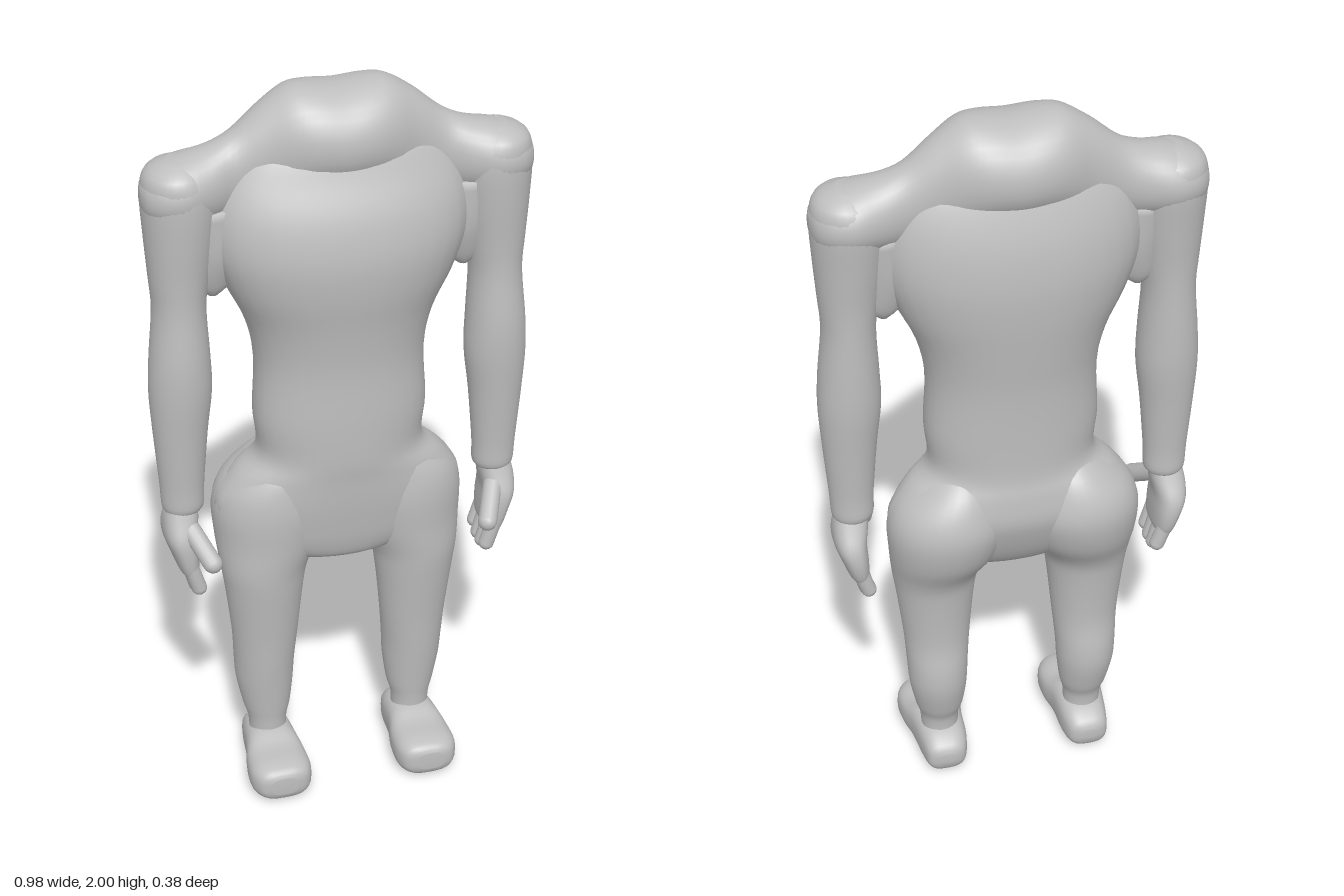
import * as THREE from 'three';

const SEG = 32, STEPS = 4;

// Smooth closed loft along an axis; each row is [t, aMin, aMax, bMin, bMax],
// where (a, b) are (y, z) for axis x, (x, z) for axis y and (x, y) for axis z.
function loft(axis, rows, power = 2) {
  const rings = [];
  const at = (i) => rows[Math.max(0, Math.min(rows.length - 1, i))];
  for (let i = 0; i < rows.length - 1; i++) {
    for (let s = 0; s < STEPS; s++) {
      const u = s / STEPS;
      rings.push(rows[0].map((_, k) => {
        const p0 = at(i - 1)[k], p1 = at(i)[k], p2 = at(i + 1)[k], p3 = at(i + 2)[k];
        return p1 + 0.5 * u * (p2 - p0 + u * (2 * p0 - 5 * p1 + 4 * p2 - p3 + u * (3 * (p1 - p2) + p3 - p0)));
      }));
    }
  }
  rings.push(rows[rows.length - 1]);

  const pos = [], index = [];
  const put = (t, a, b) => {
    if (axis === 'x') pos.push(t, a, b);
    else if (axis === 'y') pos.push(a, t, b);
    else pos.push(a, b, t);
  };
  const round = (v) => Math.sign(v) * Math.abs(v) ** (2 / power);
  const dir = axis === 'y' ? -1 : 1;
  for (const [t, a0, a1, b0, b1] of rings) {
    for (let j = 0; j < SEG; j++) {
      const th = (j / SEG) * Math.PI * 2;
      put(t, (a0 + a1) / 2 + round(Math.cos(th)) * (a1 - a0) / 2,
        (b0 + b1) / 2 + dir * round(Math.sin(th)) * (b1 - b0) / 2);
    }
  }
  for (let i = 0; i < rings.length - 1; i++) {
    for (let j = 0; j < SEG; j++) {
      const p = i * SEG + j, q = i * SEG + (j + 1) % SEG;
      index.push(p, q, p + SEG, q, q + SEG, p + SEG);
    }
  }
  // end caps
  const last = (rings.length - 1) * SEG, pole = rings.length * SEG;
  for (const r of [rings[0], rings[rings.length - 1]]) put(r[0], (r[1] + r[2]) / 2, (r[3] + r[4]) / 2);
  for (let j = 0; j < SEG; j++) {
    const k = (j + 1) % SEG;
    index.push(pole, k, j, pole + 1, last + j, last + k);
  }
  const geo = new THREE.BufferGeometry();
  geo.setAttribute('position', new THREE.Float32BufferAttribute(pos, 3));
  geo.setIndex(index);
  geo.computeVertexNormals();
  return geo;
}

// Rounded finger between two points
function finger(from, to, radius) {
  const a = new THREE.Vector3(...from), b = new THREE.Vector3(...to);
  const d = b.clone().sub(a);
  const geo = new THREE.CapsuleGeometry(radius, d.length(), 6, 14);
  geo.applyQuaternion(new THREE.Quaternion().setFromUnitVectors(new THREE.Vector3(0, 1, 0), d.normalize()));
  const c = a.add(b).multiplyScalar(0.5);
  return geo.translate(c.x, c.y, c.z);
}

function mirrored(geo) {
  const g = geo.clone().scale(-1, 1, 1);
  const ix = g.index;
  for (let i = 0; i < ix.count; i += 3) {
    const t = ix.getX(i);
    ix.setX(i, ix.getX(i + 1));
    ix.setX(i + 1, t);
  }
  return g;
}

export function createModel() {
  const model = new THREE.Group();
  model.name = 'headlessFigure';
  const skin = new THREE.MeshStandardMaterial({ color: 0xbfbfbf });
  skin.name = 'plain grey';

  const add = (name, geo) => {
    const mesh = new THREE.Mesh(geo, skin);
    mesh.name = name;
    model.add(mesh);
  };
  const addPair = (name, geo) => {
    add(name + 'Left', geo);
    add(name + 'Right', mirrored(geo));
  };

  // Torso from crotch to upper chest
  const torso = [
    [0.687, 0.07, 0.04, -0.06], [0.70, 0.17, 0.07, -0.09], [0.75, 0.28, 0.088, -0.125],
    [0.82, 0.322, 0.10, -0.155], [0.88, 0.322, 0.108, -0.17], [0.95, 0.275, 0.115, -0.165],
    [1.01, 0.218, 0.122, -0.155], [1.12, 0.224, 0.125, -0.155], [1.27, 0.218, 0.125, -0.162],
    [1.39, 0.24, 0.138, -0.176], [1.5, 0.29, 0.156, -0.188], [1.6, 0.322, 0.161, -0.192],
    [1.7, 0.322, 0.143, -0.182], [1.79, 0.29, 0.105, -0.158], [1.86, 0.22, 0.075, -0.13],
    [1.9, 0.1, 0.04, -0.1],
  ];
  add('torso', loft('y', torso.map(([y, w, f, b]) => [y, -w, w, b, f]), 2.15));

  // Sloping shoulder bar with the blunt neck stump in the middle
  const half = [
    [0, 1.74, 1.992, -0.17, 0.105], [0.07, 1.74, 1.998, -0.163, 0.098], [0.125, 1.73, 1.994, -0.145, 0.08],
    [0.19, 1.71, 1.955, -0.115, 0.05], [0.26, 1.69, 1.897, -0.098, 0.035], [0.32, 1.68, 1.868, -0.105, 0.055],
    [0.39, 1.68, 1.852, -0.118, 0.078], [0.445, 1.69, 1.835, -0.103, 0.066], [0.478, 1.71, 1.805, -0.07, 0.035],
    [0.49, 1.74, 1.78, -0.03, 0.0],
  ];
  const otherHalf = half.slice(1).reverse().map(([x, ...r]) => [-x, ...r]);
  add('shoulders', loft('x', [...otherHalf, ...half], 2.1));

  // Arms
  addPair('arm', loft('y', [
    [0.868, 0.385, 0.45, -0.04, 0.02], [0.878, 0.362, 0.468, -0.06, 0.04], [0.95, 0.358, 0.473, -0.062, 0.044],
    [1.1, 0.345, 0.484, -0.075, 0.057], [1.22, 0.331, 0.49, -0.087, 0.068], [1.32, 0.333, 0.485, -0.09, 0.07],
    [1.45, 0.338, 0.473, -0.09, 0.061], [1.54, 0.327, 0.478, -0.093, 0.063], [1.65, 0.31, 0.485, -0.104, 0.072],
    [1.76, 0.30, 0.489, -0.114, 0.077], [1.82, 0.325, 0.475, -0.1, 0.065], [1.848, 0.37, 0.42, -0.05, 0.015],
  ]));

  // Armpit webs
  addPair('armpit', loft('y', [
    [1.475, 0.305, 0.335, -0.04, 0.0], [1.51, 0.27, 0.37, -0.06, 0.02],
    [1.6, 0.25, 0.38, -0.08, 0.045], [1.72, 0.25, 0.4, -0.09, 0.05],
  ]));

  // Palms, four fingers and a forward-pointing thumb
  addPair('palm', loft('y', [
    [0.685, 0.395, 0.425, -0.065, 0.05], [0.70, 0.383, 0.437, -0.083, 0.06], [0.75, 0.383, 0.455, -0.094, 0.066],
    [0.80, 0.385, 0.47, -0.09, 0.064], [0.85, 0.378, 0.468, -0.065, 0.045], [0.89, 0.38, 0.455, -0.045, 0.03],
  ], 2.5));
  [0.042, 0.006, -0.03, -0.064].forEach((z, i) => {
    const tip = [0.648, 0.636, 0.638, 0.656][i];
    addPair('finger' + (i + 1), finger([0.412, 0.72, z], [0.39, tip, z * 0.95], 0.0205));
  });
  addPair('thumb', finger([0.405, 0.825, 0.03], [0.367, 0.765, 0.112], 0.025));

  // Legs, with the buttocks as their upper ends
  addPair('leg', loft('y', [
    [0.06, 0.15, 0.25, -0.07, 0.03], [0.15, 0.15, 0.253, -0.07, 0.032], [0.2, 0.138, 0.266, -0.088, 0.037],
    [0.28, 0.128, 0.282, -0.108, 0.046], [0.35, 0.124, 0.287, -0.11, 0.054], [0.45, 0.115, 0.293, -0.1, 0.064],
    [0.6, 0.1, 0.31, -0.112, 0.083], [0.67, 0.085, 0.32, -0.128, 0.09], [0.75, 0.04, 0.328, -0.17, 0.095],
    [0.84, 0.015, 0.331, -0.192, 0.1], [0.91, 0.03, 0.305, -0.182, 0.095], [0.97, 0.06, 0.24, -0.15, 0.08],
    [1.01, 0.1, 0.18, -0.1, 0.04],
  ]));

  // Feet
  addPair('foot', loft('z', [
    [-0.122, 0.18, 0.22, 0.045, 0.075], [-0.108, 0.15, 0.25, 0.015, 0.1], [-0.06, 0.135, 0.262, 0.004, 0.125],
    [0.02, 0.13, 0.272, 0.006, 0.135], [0.08, 0.12, 0.284, 0.006, 0.118], [0.14, 0.12, 0.286, 0.004, 0.114],
    [0.178, 0.137, 0.268, 0.014, 0.104], [0.19, 0.17, 0.24, 0.035, 0.085],
  ], 2.8));

  return model;
}
